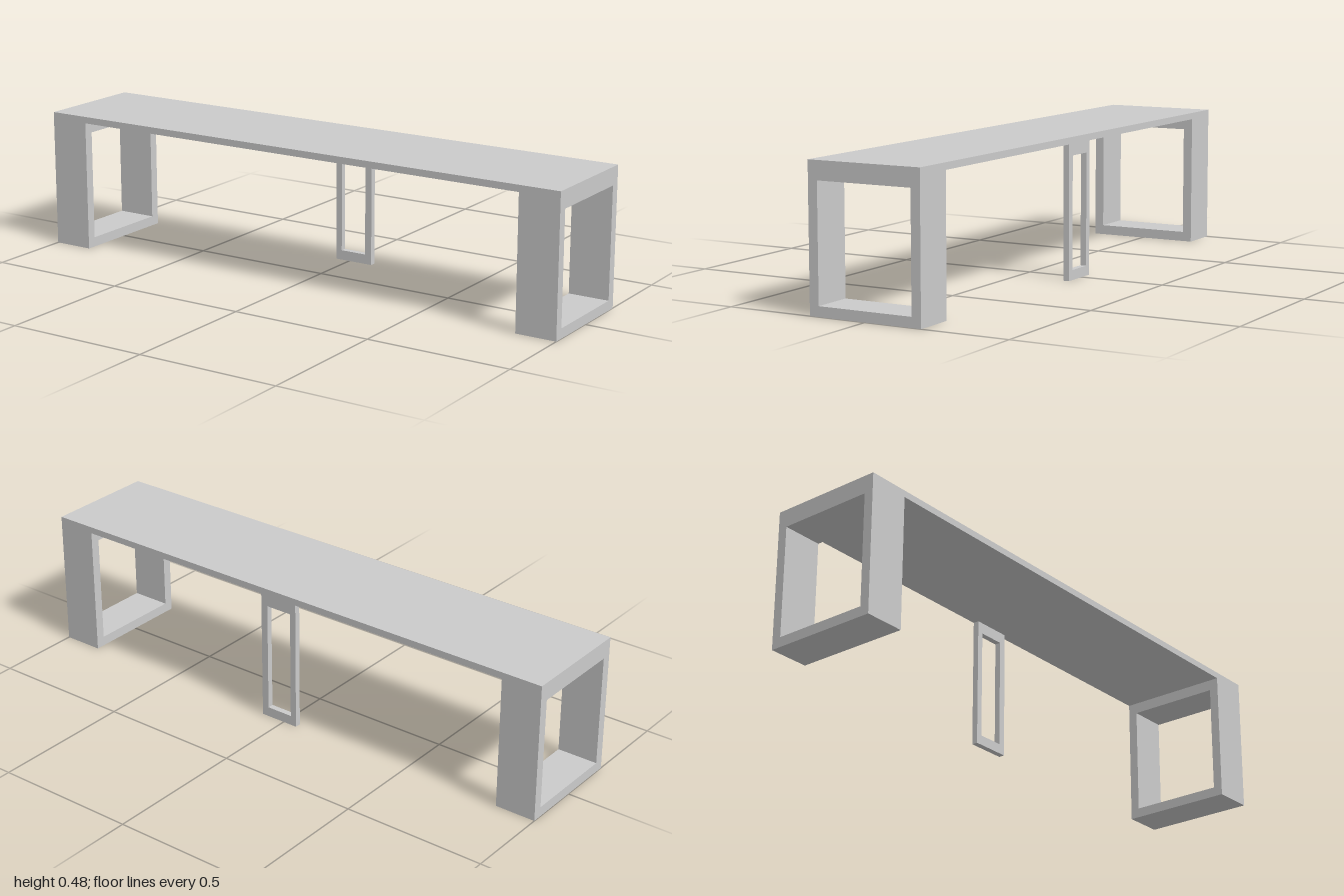
import * as THREE from 'three';

const material = new THREE.MeshStandardMaterial({ color: 0xcccccc, flatShading: true });
const UNDERSIDE = 0.457;

// Rectangular frame standing on y = 0: [left, right] outer, [left, right, bottom, top] opening
function frameGeometry([x0, x1], [h0, h1, hb, ht], depth) {
  const shape = new THREE.Shape();
  shape.moveTo(x0, 0).lineTo(x1, 0).lineTo(x1, UNDERSIDE).lineTo(x0, UNDERSIDE).closePath();
  const hole = new THREE.Path();
  hole.moveTo(h0, hb).lineTo(h0, ht).lineTo(h1, ht).lineTo(h1, hb).closePath();
  shape.holes.push(hole);
  return new THREE.ExtrudeGeometry(shape, { depth, bevelEnabled: false });
}

export function createModel() {
  const model = new THREE.Group();
  model.name = 'bench';
  const add = (name, geometry) => {
    const mesh = new THREE.Mesh(geometry, material);
    mesh.name = name;
    model.add(mesh);
    return mesh;
  };

  // Long flat top
  const top = 0.48 - UNDERSIDE;
  add('top', new THREE.BoxGeometry(2, top, 0.4)).position.y = UNDERSIDE + top / 2;

  // Open box legs at both ends, running along z
  const width = 0.143;
  for (const side of [1, -1]) {
    const geometry = frameGeometry([-0.2, 0.2], [-0.167, 0.167, 0.034, 0.418], width);
    geometry.rotateY(Math.PI / 2);
    const leg = add(side > 0 ? 'leftEndLeg' : 'rightEndLeg', geometry);
    leg.position.x = side > 0 ? 1 - width : -1;
  }

  // Thin middle leg, flush with the back edge and slightly off centre
  const middle = frameGeometry([-0.053, 0.09], [-0.031, 0.065, 0.034, 0.418], 0.021);
  add('middleLeg', middle).position.z = -0.2;

  return model;
}
